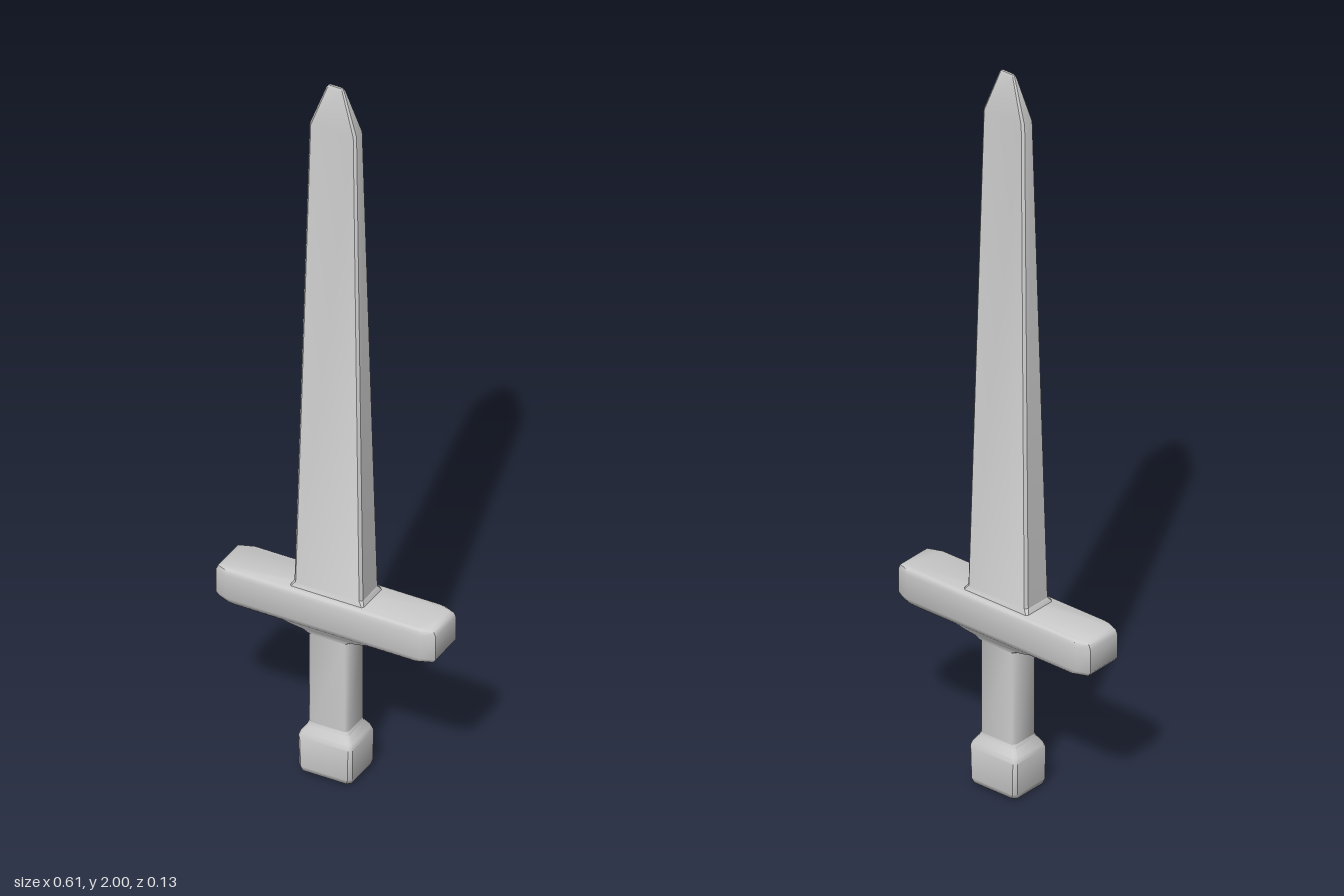
import * as THREE from 'three';
import { toCreasedNormals } from 'three/addons/utils/BufferGeometryUtils.js';

const material = new THREE.MeshStandardMaterial({ color: 0xcccccc });

// Stack of chamfered rectangles: [y, half width, half depth, chamfer x, chamfer z]
function loft(name, sections, crease) {
  const pos = [], index = [], n = 8;
  for (const [y, hx, hz, bx = 0.006, bz = bx] of sections) {
    const ring = [
      [hx, -hz + bz], [hx, hz - bz], [hx - bx, hz], [-hx + bx, hz],
      [-hx, hz - bz], [-hx, -hz + bz], [-hx + bx, -hz], [hx - bx, -hz],
    ];
    for (const [x, z] of ring) pos.push(x, y, z);
  }
  const last = (sections.length - 1) * n;
  for (let s = 0; s < last; s += n) {
    for (let i = 0; i < n; i++) {
      const a = s + i, b = s + (i + 1) % n;
      index.push(a, a + n, b, b, a + n, b + n);
    }
  }
  // End caps
  for (let i = 1; i < n - 1; i++) {
    index.push(0, i, i + 1, last, last + i + 1, last + i);
  }
  const geo = new THREE.BufferGeometry();
  geo.setAttribute('position', new THREE.Float32BufferAttribute(pos, 3));
  geo.setIndex(index);
  const mesh = new THREE.Mesh(toCreasedNormals(geo, crease), material);
  mesh.name = name;
  return mesh;
}

export function createModel() {
  const sword = new THREE.Group();
  sword.name = 'sword';

  // Tapered blade with a flared foot and a blunt point
  sword.add(loft('blade', [
    [0.525, 0.103, 0.05, 0.004],
    [0.533, 0.101, 0.048, 0.005],
    [0.543, 0.095, 0.043, 0.007],
    [1.88, 0.065, 0.02, 0.006],
    [1.992, 0.025, 0.006, 0.004, 0.003],
    [2.0, 0.02, 0.003, 0.003, 0.002],
  ], 0.5));

  // Crossguard with clipped ends, and a collar narrowing onto the grip
  sword.add(loft('crossguard', [
    [0.43, 0.285, 0.057, 0.033, 0.012],
    [0.436, 0.297, 0.062, 0.034, 0.013],
    [0.447, 0.305, 0.065, 0.035, 0.014],
    [0.513, 0.305, 0.065, 0.035, 0.014],
    [0.525, 0.3, 0.063, 0.034, 0.013],
    [0.53, 0.289, 0.058, 0.033, 0.012],
  ], 0.75));
  sword.add(loft('collar', [
    [0.405, 0.057, 0.045],
    [0.413, 0.07, 0.047],
    [0.422, 0.1, 0.053],
    [0.432, 0.13, 0.058],
  ], 0.6));

  // Grip
  sword.add(loft('grip', [[0.12, 0.055, 0.043, 0.008], [0.415, 0.055, 0.043, 0.008]], 0.9));

  // Pommel
  sword.add(loft('pommel', [
    [0, 0.062, 0.05, 0.01],
    [0.005, 0.07, 0.057, 0.01],
    [0.018, 0.074, 0.06, 0.009],
    [0.105, 0.075, 0.061, 0.008],
    [0.117, 0.071, 0.057, 0.008],
    [0.135, 0.058, 0.046, 0.008],
    [0.145, 0.055, 0.043, 0.008],
  ], 0.75));

  return sword;
}
